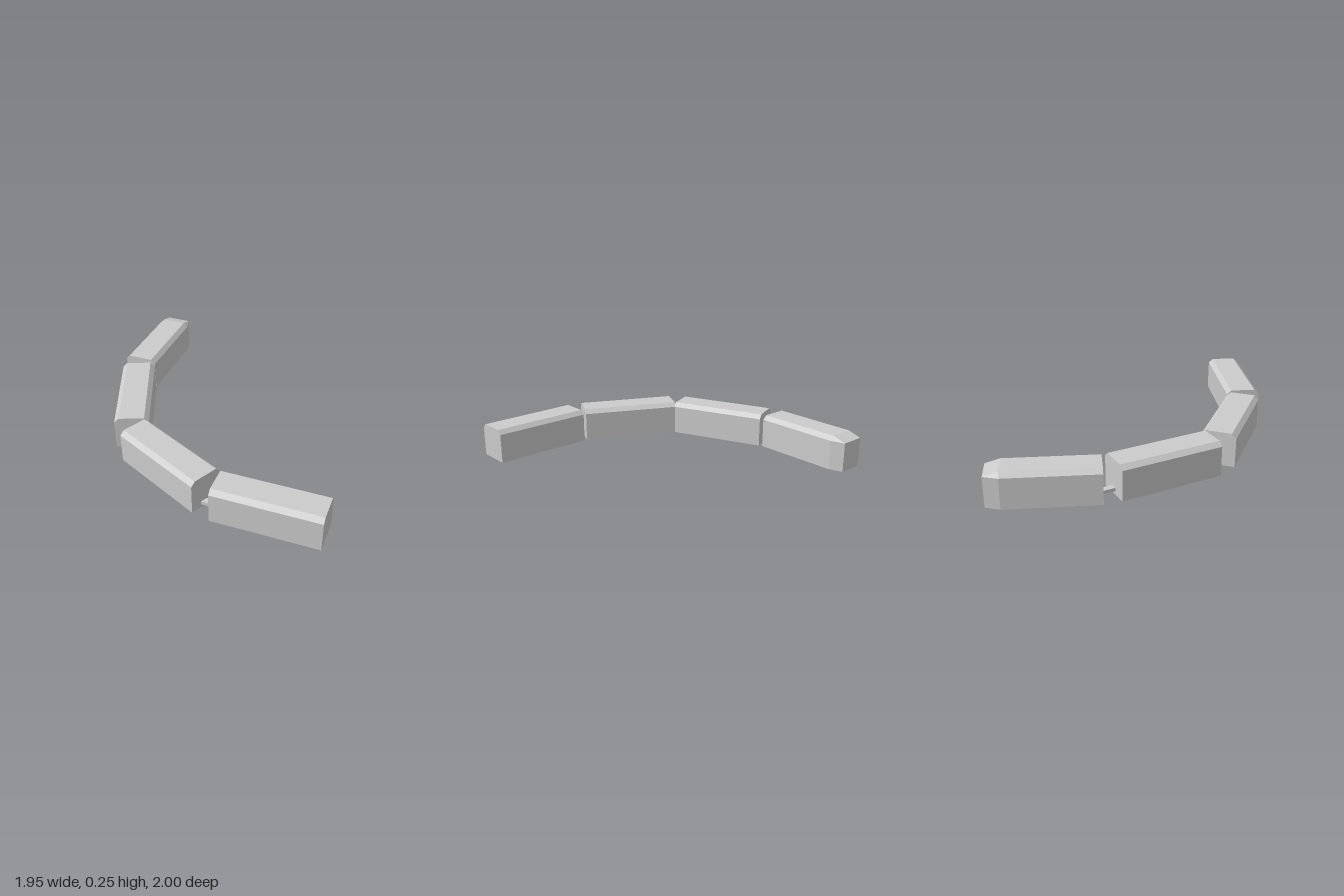
import * as THREE from 'three';

const LENGTH = 0.735;
const HALF_WIDTH = 0.122, HALF_ROOF = 0.09;
const EAVE = 0.215, ROOF = 0.246;
const NOSE = 0.1;

const solid = new THREE.MeshStandardMaterial({ color: 0xcccccc, flatShading: true });
const shell = new THREE.MeshStandardMaterial({
  color: 0xcccccc, flatShading: true, side: THREE.DoubleSide,
});

// Drops the floor triangles so the body is a hollow shell, open underneath
function removeFloor(geometry) {
  const p = geometry.attributes.position;
  const kept = [];
  for (let i = 0; i < p.count; i += 3) {
    if (Math.max(p.getY(i), p.getY(i + 1), p.getY(i + 2)) < 0.001) continue;
    for (let k = i; k < i + 3; k++) kept.push(p.getX(k), p.getY(k), p.getZ(k));
  }
  const open = new THREE.BufferGeometry();
  open.setAttribute('position', new THREE.Float32BufferAttribute(kept, 3));
  open.computeVertexNormals();
  return open;
}

// Carriage body: chamfered box section swept along z, front end at -z
function bodyGeometry(hasNose) {
  const section = new THREE.Shape([
    [-HALF_WIDTH, 0], [HALF_WIDTH, 0], [HALF_WIDTH, EAVE],
    [HALF_ROOF, ROOF], [-HALF_ROOF, ROOF], [-HALF_WIDTH, EAVE],
  ].map(([x, y]) => new THREE.Vector2(x, y)));
  const geometry = new THREE.ExtrudeGeometry(section, {
    depth: LENGTH, steps: hasNose ? 2 : 1, bevelEnabled: false,
  });
  if (hasNose) {
    // Middle ring becomes the nose base; front ring is pinched in and lowered
    const p = geometry.attributes.position;
    for (let i = 0; i < p.count; i++) {
      const z = p.getZ(i);
      if (z < 0.001) {
        p.setX(i, THREE.MathUtils.clamp(p.getX(i), -HALF_ROOF, HALF_ROOF));
        p.setY(i, Math.min(p.getY(i), EAVE));
      } else if (z < LENGTH - 0.001) {
        p.setZ(i, NOSE);
      }
    }
  }
  return removeFloor(geometry).translate(0, 0, -LENGTH / 2);
}

// Drawbar through both end walls, with a pin at each end
function createCoupler() {
  const coupler = new THREE.Group();
  coupler.name = 'coupler';
  const bar = new THREE.Mesh(new THREE.BoxGeometry(0.046, 0.023, 0.17), solid);
  bar.name = 'drawbar';
  coupler.add(bar);
  for (const side of [-1, 1]) {
    const pin = new THREE.Mesh(new THREE.CylinderGeometry(0.015, 0.015, 0.035, 12), solid);
    pin.name = 'couplerPin';
    pin.position.z = side * 0.07;
    coupler.add(pin);
  }
  return coupler;
}

export function createModel() {
  const train = new THREE.Group();
  train.name = 'train';

  // Centre and heading of each carriage along the curve, leading one first
  const carriages = [
    { name: 'leadCarriage', x: -0.852, z: -0.633, dx: 0, dz: 1 },
    { name: 'secondCarriage', x: -0.691, z: 0.146, dx: 0.28, dz: 0.68 },
    { name: 'thirdCarriage', x: -0.168, z: 0.699, dx: 0.66, dz: 0.315 },
    { name: 'lastCarriage', x: 0.604, z: 0.872, dx: 0.74, dz: -0.006 },
  ];

  carriages.forEach(({ name, x, z, dx, dz }, i) => {
    const carriage = new THREE.Group();
    carriage.name = name;
    const body = new THREE.Mesh(bodyGeometry(i === 0), shell);
    body.name = 'body';
    carriage.add(body);

    // Each trailing carriage is hitched to the one ahead
    if (i > 0) {
      const coupler = createCoupler();
      coupler.position.set(0, 0.037, -LENGTH / 2 - 0.04);
      carriage.add(coupler);
    }

    carriage.position.set(x, 0, z);
    carriage.rotation.y = Math.atan2(dx, dz);
    train.add(carriage);
  });

  return train;
}
